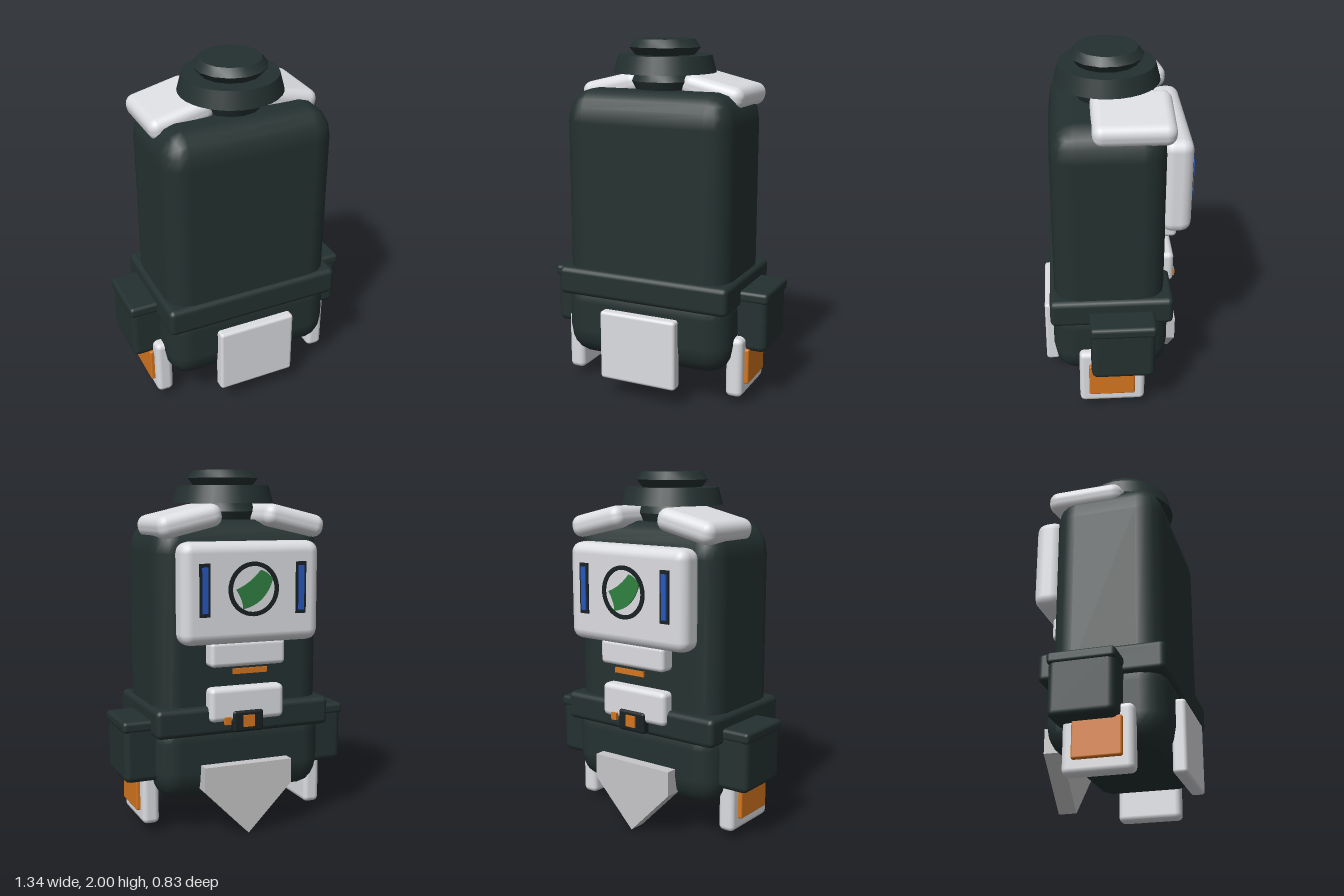
import * as THREE from 'three';
import { RoundedBoxGeometry } from 'three/addons/geometries/RoundedBoxGeometry.js';
import { toCreasedNormals } from 'three/addons/utils/BufferGeometryUtils.js';

function material(name, color) {
  const m = new THREE.MeshStandardMaterial({ color });
  m.name = name;
  return m;
}

export function createModel() {
  const group = new THREE.Group();
  const dark = material('dark cloth', 0x243130);
  const black = material('black trim', 0x1a2224);
  const white = material('white armour', 0xdcdde1);
  const grey = material('grey armour', 0xc6c6c8);
  const orange = material('orange', 0xd4751f);
  const blue = material('blue', 0x2757bd);
  const green = material('green', 0x2f8040);

  function add(name, geometry, mat, x = 0, y = 0, z = 0) {
    const mesh = new THREE.Mesh(geometry, mat);
    mesh.name = name;
    mesh.position.set(x, y, z);
    group.add(mesh);
    return mesh;
  }

  // Box given by its extents; r rounds the edges, stretch elongates the rounding in y
  function block(name, mat, [x0, x1], [y0, y1], [z0, z1], r = 0, stretch = 1) {
    const w = x1 - x0, h = y1 - y0, d = z1 - z0;
    const geometry = r
      ? new RoundedBoxGeometry(w, h / stretch, d, 2, r).scale(1, stretch, 1)
      : new THREE.BoxGeometry(w, h, d);
    return add(name, geometry, mat, (x0 + x1) / 2, (y0 + y1) / 2, (z0 + z1) / 2);
  }

  // Body
  block('torso', dark, [-0.49, 0.49], [0.45, 1.73], [-0.26, 0.35], 0.13, 1.35);
  block('belt', dark, [-0.515, 0.515], [0.565, 0.725], [-0.305, 0.375], 0.03);
  block('pelvis', dark, [-0.5, 0.5], [0.195, 0.69], [-0.285, 0.36], 0.13, 1.25);

  // Neck rings and collar
  const ring = (points) => toCreasedNormals(
    new THREE.LatheGeometry(points.map(([r, y]) => new THREE.Vector2(r, y)), 14), 0.6);
  const neckZ = 0.033;
  add('lowerNeckRing', ring([[0, 1.7], [0.15, 1.7], [0.165, 1.73], [0.187, 1.775], [0.165, 1.83]]), dark, 0, 0, neckZ);
  add('collar', new THREE.CylinderGeometry(0.26, 0.285, 0.095, 32), dark, 0, 1.868, neckZ);
  add('upperNeckRing', ring([[0.162, 1.91], [0.2, 1.957], [0.167, 2], [0, 2]]), dark, 0, 0, neckZ);

  // Chest plate and its fittings
  block('chestPlate', white, [-0.4, 0.4], [1.075, 1.62], [-0.4, -0.24], 0.06);
  const badgeY = 1.37;
  const hoop = new THREE.Shape().absarc(0, 0, 0.145, 0, Math.PI * 2);
  hoop.holes.push(new THREE.Path().absarc(0, 0, 0.122, 0, Math.PI * 2, true));
  const thin = { depth: 0.009, bevelEnabled: false, curveSegments: 20 };
  add('chestRing', new THREE.ExtrudeGeometry(hoop, thin), black, 0, badgeY, -0.408);
  const leaf = new THREE.Shape();
  leaf.moveTo(0.06, -0.105);
  leaf.quadraticCurveTo(-0.07, -0.08, -0.11, 0.05);
  leaf.quadraticCurveTo(-0.08, 0.09, -0.04, 0.1);
  leaf.quadraticCurveTo(0.02, 0.03, 0.1, 0.0);
  leaf.quadraticCurveTo(0.06, -0.06, 0.06, -0.105);
  add('chestLeaf', new THREE.ExtrudeGeometry(leaf, thin), green, 0, badgeY, -0.407);

  // Mirrored parts
  for (const s of [-1, 1]) {
    const side = s > 0 ? 'left' : 'right';
    const span = (a, b) => (s > 0 ? [a, b] : [-b, -a]);
    block(side + 'LightFrame', black, span(0.248, 0.308), [1.23, 1.51], [-0.407, -0.398]);
    block(side + 'Light', blue, span(0.262, 0.294), [1.25, 1.49], [-0.414, -0.405]);

    const pad = add(side + 'ShoulderPad', new RoundedBoxGeometry(0.37, 0.125, 0.43, 3, 0.055),
      white, s * 0.305, 1.725, -0.083);
    pad.rotation.z = -s * 0.23;

    block(side + 'Pouch', dark, span(0.42, 0.662), [0.31, 0.64], [-0.195, 0.155], 0.035);
    block(side + 'PouchLid', dark, span(0.45, 0.67), [0.592, 0.655], [-0.2, 0.16], 0.02);
    block(side + 'HipPlate', white, span(0.453, 0.55), [0.05, 0.395], [-0.15, 0.22], 0.03);
    block(side + 'HipPanel', orange, span(0.53, 0.573), [0.12, 0.325], [-0.092, 0.168], 0.01);
  }

  // Abdomen plates, strip and buckle
  block('upperAbdomenPlate', white, [-0.22, 0.22], [0.945, 1.085], [-0.345, -0.24], 0.025);
  block('abdomenStrip', orange, [-0.1, 0.1], [0.91, 0.94], [-0.36, -0.35]);
  block('lowerAbdomenPlate', white, [-0.22, 0.22], [0.64, 0.83], [-0.335, -0.24], 0.03);
  block('buckle', black, [-0.09, 0.09], [0.58, 0.7], [-0.347, -0.29], 0.015);
  block('buckleStud', orange, [-0.033, 0.033], [0.61, 0.675], [-0.355, -0.346]);
  block('buckleTab', orange, [0.105, 0.14], [0.63, 0.67], [-0.352, -0.33]);

  // Rear flap and pointed groin plate
  block('flap', white, [-0.23, 0.23], [0.11, 0.51], [0.335, 0.412], 0.018);
  const shield = new THREE.Shape([[0, 0], [0.26, 0.262], [0.26, 0.4], [-0.26, 0.4], [-0.26, 0.262]]
    .map(([x, y]) => new THREE.Vector2(x, y)));
  add('groinPlate', new THREE.ExtrudeGeometry(shield, { depth: 0.1, bevelEnabled: false }), grey, 0, 0, -0.35);

  return group;
}
